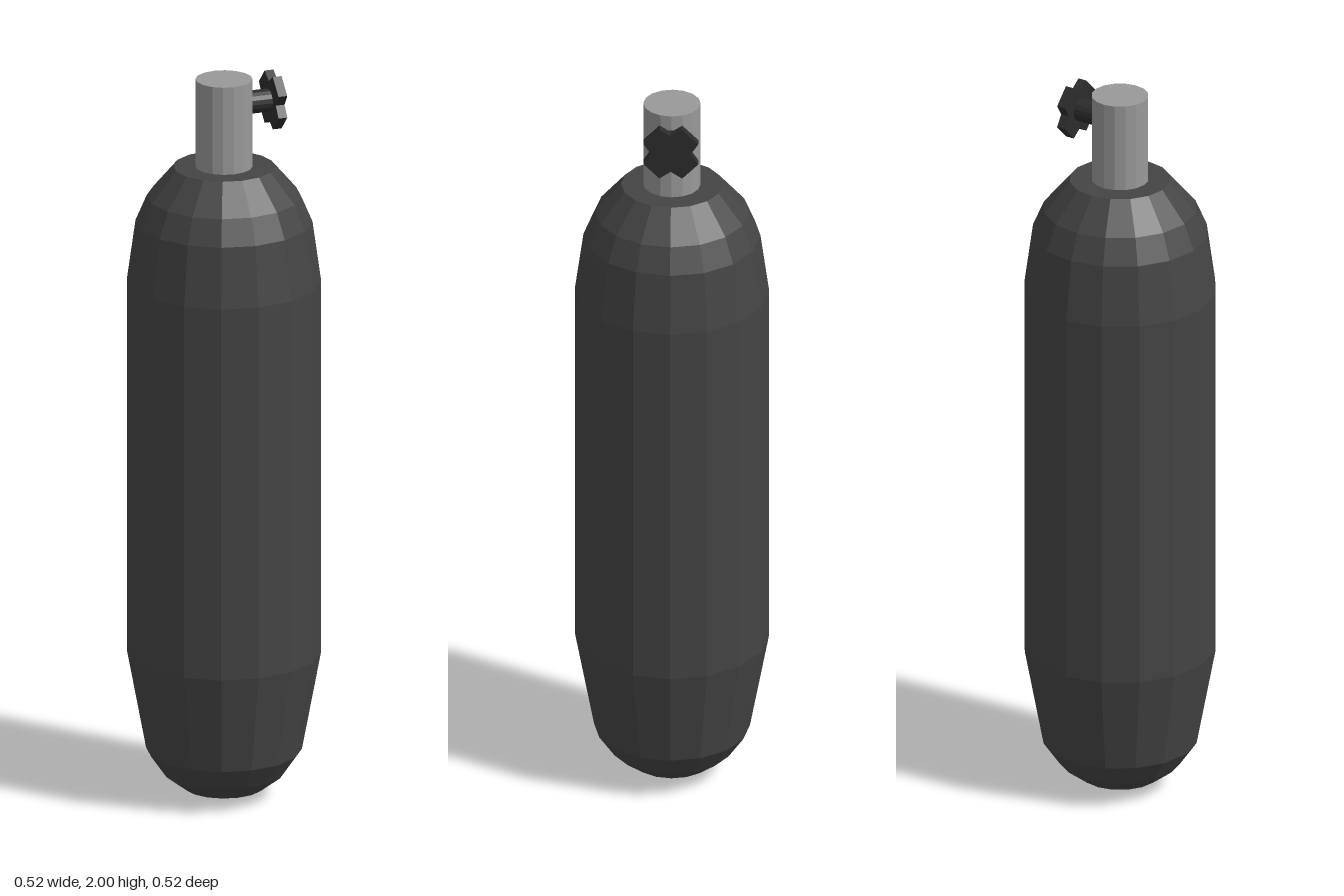
import * as THREE from 'three';

const SIDES = 16;
const VALVE_Y = 1.927;

function part(name, geometry, color) {
  const material = new THREE.MeshStandardMaterial({ color, flatShading: true });
  const mesh = new THREE.Mesh(geometry, material);
  mesh.name = name;
  return mesh;
}

export function createModel() {
  const group = new THREE.Group();
  group.name = 'gasCylinder';

  // Tank body: rounded base, straight wall, domed shoulder, flat top
  const profile = [
    [0, 0.004], [0.105, 0.026], [0.163, 0.07], [0.207, 0.133], [0.258, 0.405],
    [0.258, 1.44], [0.235, 1.605], [0.205, 1.675], [0.135, 1.757], [0, 1.757],
  ].map(([r, y]) => new THREE.Vector2(r, y));
  group.add(part('tank', new THREE.LatheGeometry(profile, SIDES), 0x444444));

  // Neck
  const neck = part('neck', new THREE.CylinderGeometry(0.076, 0.076, 0.25, SIDES), 0x999999);
  neck.position.y = 1.875;
  group.add(neck);

  // Valve on the model's left
  const valve = new THREE.Group();
  valve.name = 'valve';
  valve.position.y = VALVE_Y;

  const stem = part('valveStem', new THREE.CylinderGeometry(0.031, 0.031, 0.075, SIDES), 0x2c2c2c);
  stem.rotation.z = Math.PI / 2;
  stem.position.x = 0.0925;
  valve.add(stem);

  // Four-lobed knob with a notch between neighbouring lobes
  const outline = [];
  for (let i = 0; i < 4; i++) {
    const a = i * Math.PI / 2;
    for (const [r, offset] of [[0.053, 0], [0.079, Math.PI / 8], [0.079, 3 * Math.PI / 8]]) {
      outline.push(new THREE.Vector2(r * Math.cos(a + offset), r * Math.sin(a + offset)));
    }
  }
  const knobGeometry = new THREE.ExtrudeGeometry(new THREE.Shape(outline), { depth: 0.025, bevelEnabled: false });
  const knob = part('valveKnob', knobGeometry, 0x2c2c2c);
  knob.rotation.y = Math.PI / 2;
  knob.position.x = 0.127;
  valve.add(knob);

  group.add(valve);
  return group;
}
